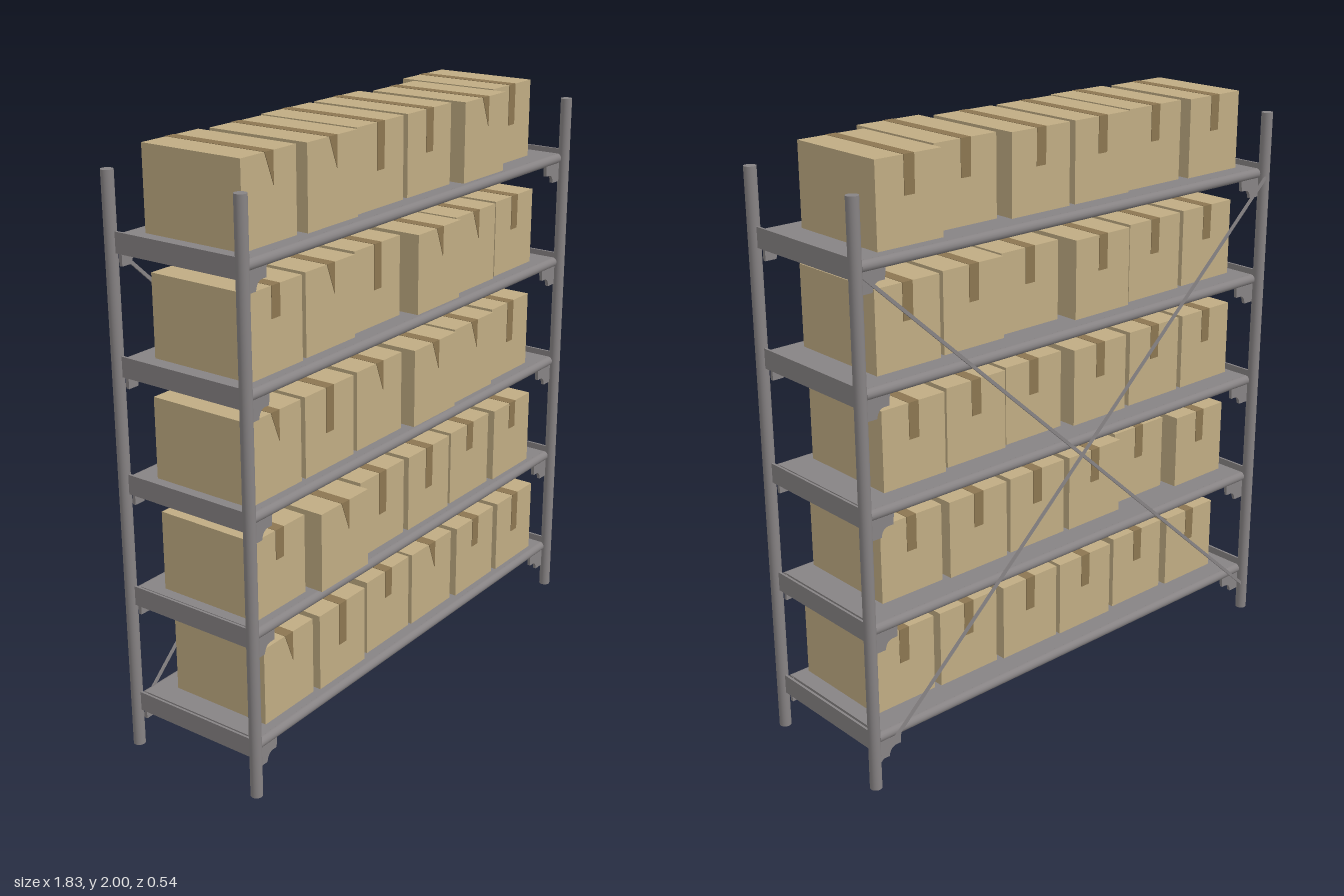
import * as THREE from 'three';

const metal = new THREE.MeshStandardMaterial({ color: 0x878384 });
metal.name = 'grey metal';
const card = new THREE.MeshStandardMaterial({ color: 0xc0ac83 });
card.name = 'cardboard';
const tapeMat = new THREE.MeshStandardMaterial({ color: 0x8c7651 });
tapeMat.name = 'brown tape';

const POST_X = 0.893, POST_Z = 0.252, PITCH = 0.3863, DECK_Y = 0.185;
const BOX_W = 0.246, BOX_H = 0.269, BOX_D = 0.373, TAPE_W = 0.039;

// Per shelf from the bottom: [x, z, tape tail length]; negative length = torn, pointed tail
const BOXES = [
  [[-0.665, 0.02, -0.1], [-0.395, 0.03, 0.15], [-0.115, 0.015, 0.1], [0.145, 0.02, -0.1], [0.415, 0.03, 0.11], [0.685, 0.035, 0.15]],
  [[-0.707, 0.025, 0.1], [-0.432, 0.07, -0.1], [-0.165, 0.025, 0.15], [0.103, 0.03, 0.15], [0.37, 0.025, 0.1], [0.642, 0.035, 0.1]],
  [[-0.717, 0.025, -0.1], [-0.45, 0.025, 0.15], [-0.178, 0.02, -0.1], [0.102, 0.05, -0.1], [0.365, 0.035, -0.1], [0.634, 0.017, 0.15]],
  [[-0.697, 0.02, 0.1], [-0.427, 0.015, -0.1], [-0.157, -0.005, 0.15], [0.123, 0.045, -0.1], [0.382, 0.02, -0.1], [0.65, 0.01, 0.12]],
  [[-0.697, 0.005, -0.1], [-0.418, 0.02, -0.1], [-0.157, 0.005, 0.15], [0.113, 0.005, 0.14], [0.39, 0.041, -0.1], [0.653, -0.017, 0.14]],
];

function add(parent, name, geometry, material, x = 0, y = 0, z = 0) {
  const mesh = new THREE.Mesh(geometry, material);
  mesh.name = name;
  mesh.position.set(x, y, z);
  parent.add(mesh);
  return mesh;
}

// Thin tape tail hanging from y = 0, facing +z
function tailGeometry(length) {
  const h = TAPE_W / 2, s = new THREE.Shape();
  s.moveTo(-h, 0);
  if (length > 0) s.lineTo(-h, -length);
  s.lineTo(h * 0.95, -Math.abs(length));
  s.lineTo(h, 0);
  return new THREE.ExtrudeGeometry(s, { depth: 0.002, bevelEnabled: false });
}

// Stepped corner bracket: runs inward (+x) from the post, below y = 0
function bracketGeometry() {
  const s = new THREE.Shape();
  s.moveTo(0, 0.01);
  s.lineTo(0, -0.065);
  s.lineTo(0.04, -0.065);
  s.quadraticCurveTo(0.044, -0.036, 0.066, -0.034);
  s.lineTo(0.086, -0.034);
  s.lineTo(0.09, 0.01);
  return new THREE.ExtrudeGeometry(s, { depth: 0.012, bevelEnabled: false, curveSegments: 6 })
    .translate(0, 0, -0.006);
}

function makeBox(length) {
  const box = new THREE.Group();
  box.name = 'cardboardBox';
  add(box, 'carton', new THREE.BoxGeometry(BOX_W, BOX_H, BOX_D), card, 0, BOX_H / 2, 0);
  add(box, 'topTape', new THREE.BoxGeometry(TAPE_W, 0.002, BOX_D + 0.004), tapeMat, 0, BOX_H, 0);
  add(box, 'frontTape', tailGeometry(length), tapeMat, 0, BOX_H, BOX_D / 2);
  add(box, 'backTape', tailGeometry(0.12), tapeMat, 0, BOX_H, -BOX_D / 2).rotation.y = Math.PI;
  return box;
}

function makeShelf() {
  const shelf = new THREE.Group();
  shelf.name = 'shelf';
  add(shelf, 'deck', new THREE.BoxGeometry(1.735, 0.01, 0.474), metal, 0, -0.005, 0);
  const rail = new THREE.CylinderGeometry(0.0175, 0.0175, 1.738, 16).rotateZ(Math.PI / 2);
  const bracket = bracketGeometry();
  for (const sz of [-1, 1]) {
    add(shelf, 'longRail', rail, metal, 0, -0.0175, sz * 0.2375);
    for (const turn of [0, Math.PI]) {
      const x = turn ? 0.87 : -0.87;
      add(shelf, 'cornerBracket', bracket, metal, x, -0.035, sz * 0.24).rotation.y = turn;
    }
  }
  for (const sx of [-1, 1]) {
    add(shelf, 'endLip', new THREE.BoxGeometry(0.012, 0.03, 0.47), metal, sx * 0.861, -0.0155, 0);
    add(shelf, 'sidePanel', new THREE.BoxGeometry(0.008, 0.066, 0.48), metal, sx * 0.892, -0.02, 0);
  }
  return shelf;
}

export function createModel() {
  const model = new THREE.Group();
  model.name = 'storageRack';

  // Corner posts
  const post = new THREE.CylinderGeometry(0.02, 0.02, 1.926, 20);
  for (const sx of [-1, 1])
    for (const sz of [-1, 1]) add(model, 'post', post, metal, sx * POST_X, 0.963, sz * POST_Z);

  // Shelves with their boxes
  BOXES.forEach((row, i) => {
    const shelf = makeShelf();
    shelf.position.y = DECK_Y + i * PITCH;
    for (const [x, z, length] of row) {
      const box = makeBox(length);
      box.position.set(x, 0, z);
      shelf.add(box);
    }
    model.add(shelf);
  });

  // Crossed braces at the back
  const dx = 1.77, dy = 1.6;
  for (const s of [-1, 1]) {
    const bar = new THREE.BoxGeometry(Math.hypot(dx, dy), 0.011, 0.006);
    add(model, 'crossBrace', bar, metal, 0, 0.9, -0.263 + s * 0.004).rotation.z = s * Math.atan2(dy, dx);
  }
  return model;
}
